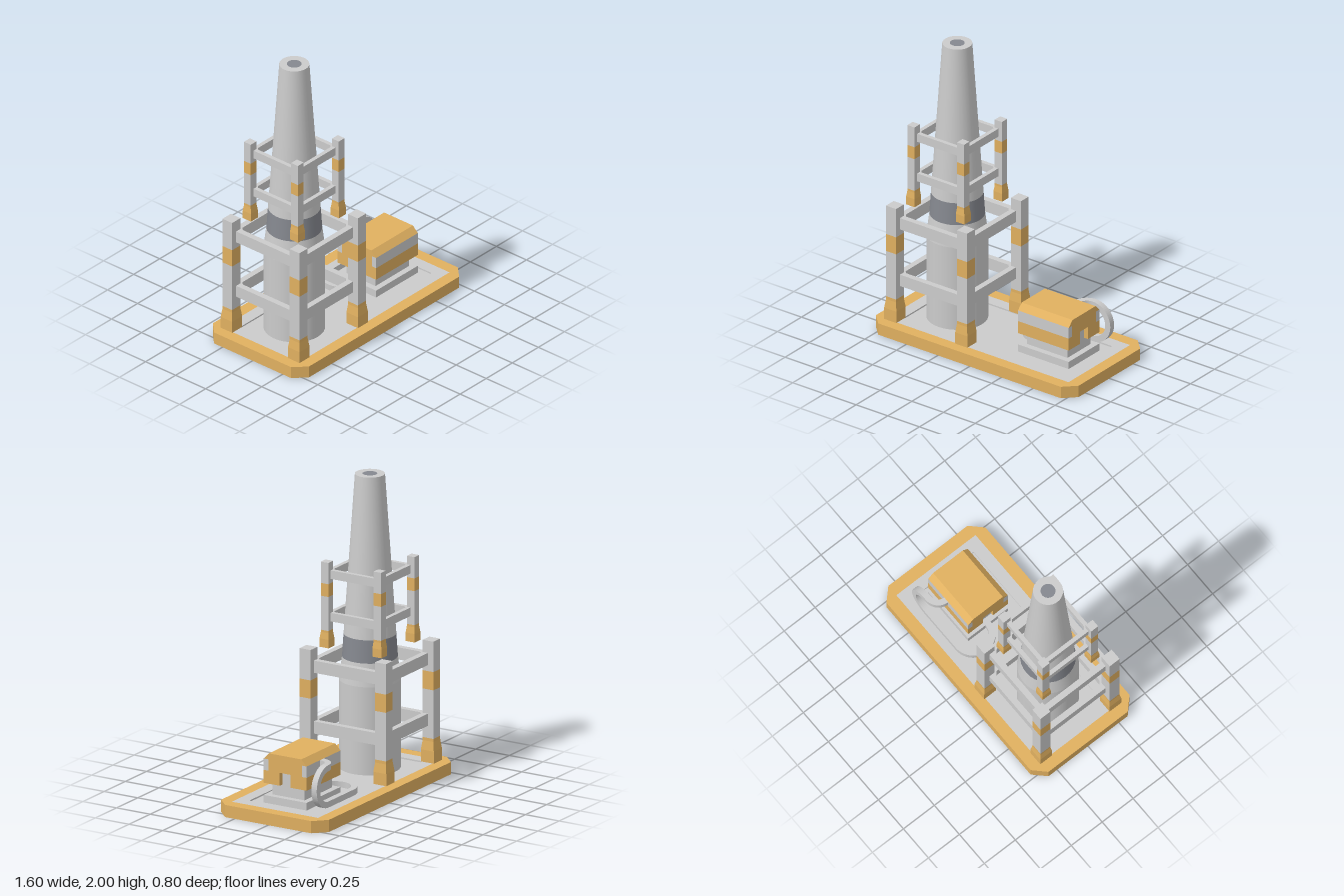
import * as THREE from 'three';

const grey = new THREE.MeshStandardMaterial({ color: 0xcccccc, flatShading: true });
const smoothGrey = new THREE.MeshStandardMaterial({ color: 0xcccccc });
const darkGrey = new THREE.MeshStandardMaterial({ color: 0x85888f });
const orange = new THREE.MeshStandardMaterial({ color: 0xe0b060, flatShading: true });

function add(parent, name, geometry, material) {
  const mesh = new THREE.Mesh(geometry, material);
  mesh.name = name;
  parent.add(mesh);
  return mesh;
}

// Box given by its minimum and maximum corners
function box(x0, y0, z0, x1, y1, z1) {
  return new THREE.BoxGeometry(x1 - x0, y1 - y0, z1 - z0)
    .translate((x0 + x1) / 2, (y0 + y1) / 2, (z0 + z1) / 2);
}

// Square frustum standing on y0
function frustum(bottom, top, y0, y1) {
  return new THREE.CylinderGeometry(top * Math.SQRT1_2, bottom * Math.SQRT1_2, y1 - y0, 4)
    .rotateY(Math.PI / 4).translate(0, (y0 + y1) / 2, 0);
}

// Rectangle (half sizes) with cut corners
function plateShape(hx, hz, cut = 0, hole) {
  const c = [];
  for (const [sx, sz] of [[1, 1], [-1, 1], [-1, -1], [1, -1]]) {
    const a = new THREE.Vector2(sx * hx, sz * (hz - cut));
    const b = new THREE.Vector2(sx * (hx - cut), sz * hz);
    if (!cut) c.push(a);
    else c.push(...(sx * sz > 0 ? [a, b] : [b, a]));
  }
  const shape = new THREE.Shape(c);
  if (hole) shape.holes.push(plateShape(...hole));
  return shape;
}

// Shape lying in x/z, filling y0 to y1
function slab(shape, y0, y1) {
  return new THREE.ExtrudeGeometry(shape, { depth: y1 - y0, bevelEnabled: false, curveSegments: 16 })
    .rotateX(Math.PI / 2).translate(0, y1, 0);
}

// Annular segment for pipe bends of square section
function bend(cx, cy, r, a0, a1) {
  const s = new THREE.Shape();
  s.absarc(cx, cy, r + 0.02, a0, a1, false);
  s.absarc(cx, cy, r - 0.02, a1, a0, true);
  return s;
}

function buildBase() {
  const g = new THREE.Group();
  g.name = 'base';
  add(g, 'baseRim', slab(plateShape(0.8, 0.4, 0.08, [0.72, 0.32]), 0, 0.08), orange);
  add(g, 'baseFrame', slab(plateShape(0.72, 0.32, 0, [0.64, 0.24]), 0, 0.08), grey);
  add(g, 'basePanel', box(-0.64, 0.045, -0.24, 0.64, 0.07, 0.24), grey);
  return g;
}

function buildTower() {
  const g = new THREE.Group();
  g.name = 'tower';
  const lathe = (name, pts, mat) =>
    add(g, name, new THREE.LatheGeometry(pts.map(p => new THREE.Vector2(...p)), 32), mat);
  lathe('towerDrum', [[0.195, 0.06], [0.195, 0.65]], smoothGrey);
  lathe('towerShoulder', [[0.195, 0.65], [0.176, 0.8]], smoothGrey);
  lathe('towerCollar', [[0.176, 0.8], [0.166, 0.95]], darkGrey);
  lathe('towerCone', [[0.166, 0.95], [0.095, 2]], smoothGrey);
  lathe('towerRim', [[0.095, 2], [0.047, 2]], smoothGrey);
  lathe('towerMouth', [[0.047, 2], [0, 2]], darkGrey);
  g.position.x = -0.4;
  return g;
}

// Four posts on tapered feet, tied together by two square rings
function buildScaffold(name) {
  const g = new THREE.Group();
  g.name = name;
  for (const sx of [-1, 1]) for (const sz of [-1, 1]) {
    const post = new THREE.Group();
    post.name = 'post';
    post.position.set(sx * 0.28, 0, sz * 0.28);
    add(post, 'foot', frustum(0.096, 0.096, 0, 0.08), orange);
    add(post, 'footTaper', frustum(0.096, 0.08, 0.08, 0.14), orange);
    add(post, 'footCollar', frustum(0.08, 0.08, 0.14, 0.16), orange);
    add(post, 'postLower', frustum(0.08, 0.08, 0.16, 0.48), grey);
    add(post, 'postBand', frustum(0.08, 0.08, 0.48, 0.6), orange);
    add(post, 'postUpper', frustum(0.08, 0.08, 0.6, 0.8), grey);
    g.add(post);
  }
  for (const y of [0.24, 0.64])
    add(g, 'braceRing', slab(plateShape(0.28, 0.28, 0.02, [0.24, 0.24, 0.02]), y, y + 0.08), grey);
  g.position.set(-0.4, 0.08, 0);
  return g;
}

function buildPump() {
  const g = new THREE.Group();
  g.name = 'pump';
  add(g, 'pumpPlate', box(0.2, 0.06, -0.16, 0.6, 0.12, 0.16), grey);
  add(g, 'pumpNeck', box(0.24, 0.12, -0.12, 0.56, 0.2, 0.12), grey);
  // Housing profile with a notch below and side recesses for the grey panels
  const half = [[0.04, 0.2], [0.16, 0.2], [0.16, 0.285], [0.125, 0.285], [0.125, 0.36], [0.16, 0.36], [0.12, 0.4]];
  const outline = [[0.04, 0.285], ...half, ...half.map(([z, y]) => [-z, y]).reverse(), [-0.04, 0.285]];
  const housing = new THREE.ExtrudeGeometry(
    new THREE.Shape(outline.map(p => new THREE.Vector2(...p))), { depth: 0.4, bevelEnabled: false });
  add(g, 'pumpHousing', housing.rotateY(Math.PI / 2).translate(0.2, 0, 0), orange);
  for (const s of [-1, 1])
    add(g, 'sidePanel', box(0.2, 0.285, s * 0.1425 - 0.0175, 0.6, 0.36, s * 0.1425 + 0.0175), grey);
  add(g, 'pumpShaft', box(0.23, 0.2, -0.04, 0.57, 0.285, 0.04), grey);
  return g;
}

function buildPipe() {
  const g = new THREE.Group();
  g.name = 'pipe';
  const PI = Math.PI;
  add(g, 'pipeFloorBend', slab(bend(0.2, -0.12, 0.12, PI / 2, PI * 1.5), 0.08, 0.12), grey);
  add(g, 'pipeFloorRun', box(0.2, 0.08, -0.26, 0.5, 0.12, -0.22), grey);
  const rise = new THREE.ExtrudeGeometry(bend(0.5, 0.22, 0.12, -PI / 2, PI / 2),
    { depth: 0.04, bevelEnabled: false, curveSegments: 16 });
  add(g, 'pipeRise', rise.translate(0, 0, -0.26), grey);
  add(g, 'pipeInlet', slab(bend(0.5, -0.16, 0.08, PI, PI * 1.5), 0.32, 0.36), grey);
  return g;
}

export function createModel() {
  const model = new THREE.Group();
  model.name = 'industrialTower';
  const lower = buildScaffold('lowerScaffold');
  const upper = buildScaffold('upperScaffold');
  upper.scale.setScalar(0.7);
  upper.position.y = 0.88;
  model.add(buildBase(), buildTower(), lower, upper, buildPump(), buildPipe());
  return model;
}
